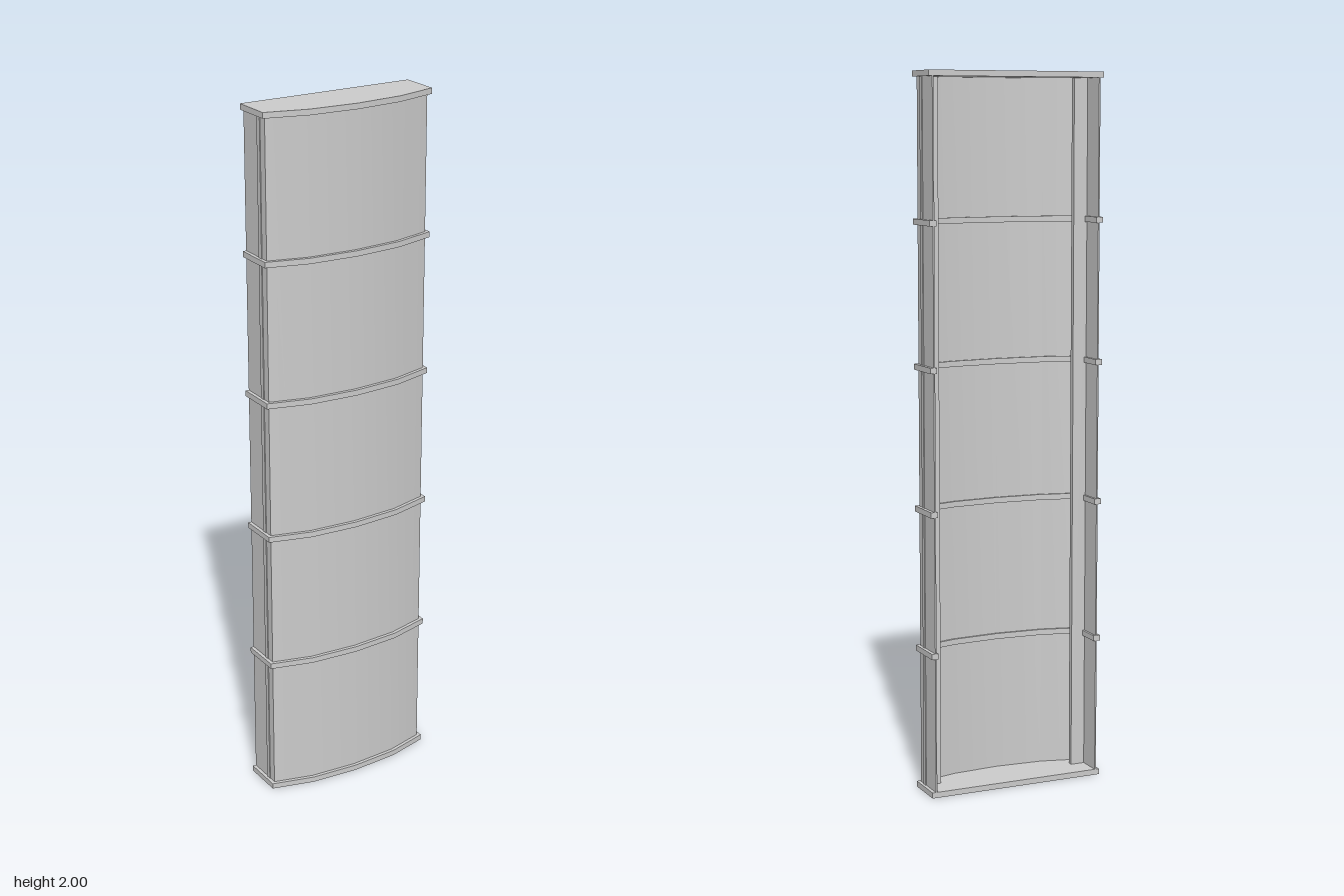
import * as THREE from 'three';
import { toCreasedNormals } from 'three/addons/utils/BufferGeometryUtils.js';

const HEIGHT = 2, BAND = 0.016, BACK = -0.08;
const material = new THREE.MeshStandardMaterial({ color: 0xcccccc });

// Bowed outline, moved inward by d, from the left back corner round the front
function outline(d) {
  const half = [[0.26 - d, BACK], [0.26 - d, 0.036 - 0.75 * d], [0.14 - 0.18 * d, 0.068 - 0.97 * d]];
  return [...half, [0, 0.078 - d], ...half.slice().reverse().map(([x, z]) => [-x, z])];
}

// Plan shape (x, z) raised from y by height
function raise(name, points, y, height) {
  const shape = new THREE.Shape(points.map(([x, z]) => new THREE.Vector2(x, -z)));
  let geometry = new THREE.ExtrudeGeometry(shape, { depth: height, bevelEnabled: false });
  geometry.rotateX(-Math.PI / 2).translate(0, y, 0);
  geometry = toCreasedNormals(geometry, 0.4);
  const mesh = new THREE.Mesh(geometry, material);
  mesh.name = name;
  return mesh;
}

// Open-backed strip between two inset outlines
const strip = (outer, inner) => [...outline(outer), ...outline(inner).reverse()];

export function createModel() {
  const group = new THREE.Group();
  group.name = 'bowedPanel';

  // Thin curved face with its two side walls
  group.add(raise('curvedShell', strip(0.01, 0.014), BAND / 2, HEIGHT - BAND));

  // Solid end plates
  group.add(raise('bottomPlate', outline(0), 0, BAND));
  group.add(raise('topPlate', outline(0), HEIGHT - BAND, BAND));

  // Horizontal bands wrapping the shell
  for (let i = 1; i < 5; i++) {
    group.add(raise('band' + i, strip(0, 0.02), i * (HEIGHT - BAND) / 5, BAND));
  }

  // Upright ribs, set through the side walls
  for (const [side, name] of [[1, 'leftRib'], [-1, 'rightRib']]) {
    const rib = new THREE.Mesh(new THREE.BoxGeometry(0.047, HEIGHT - BAND, 0.015), material);
    rib.position.set(side * 0.2285, HEIGHT / 2, -0.0025);
    rib.name = name;
    group.add(rib);
  }
  return group;
}
